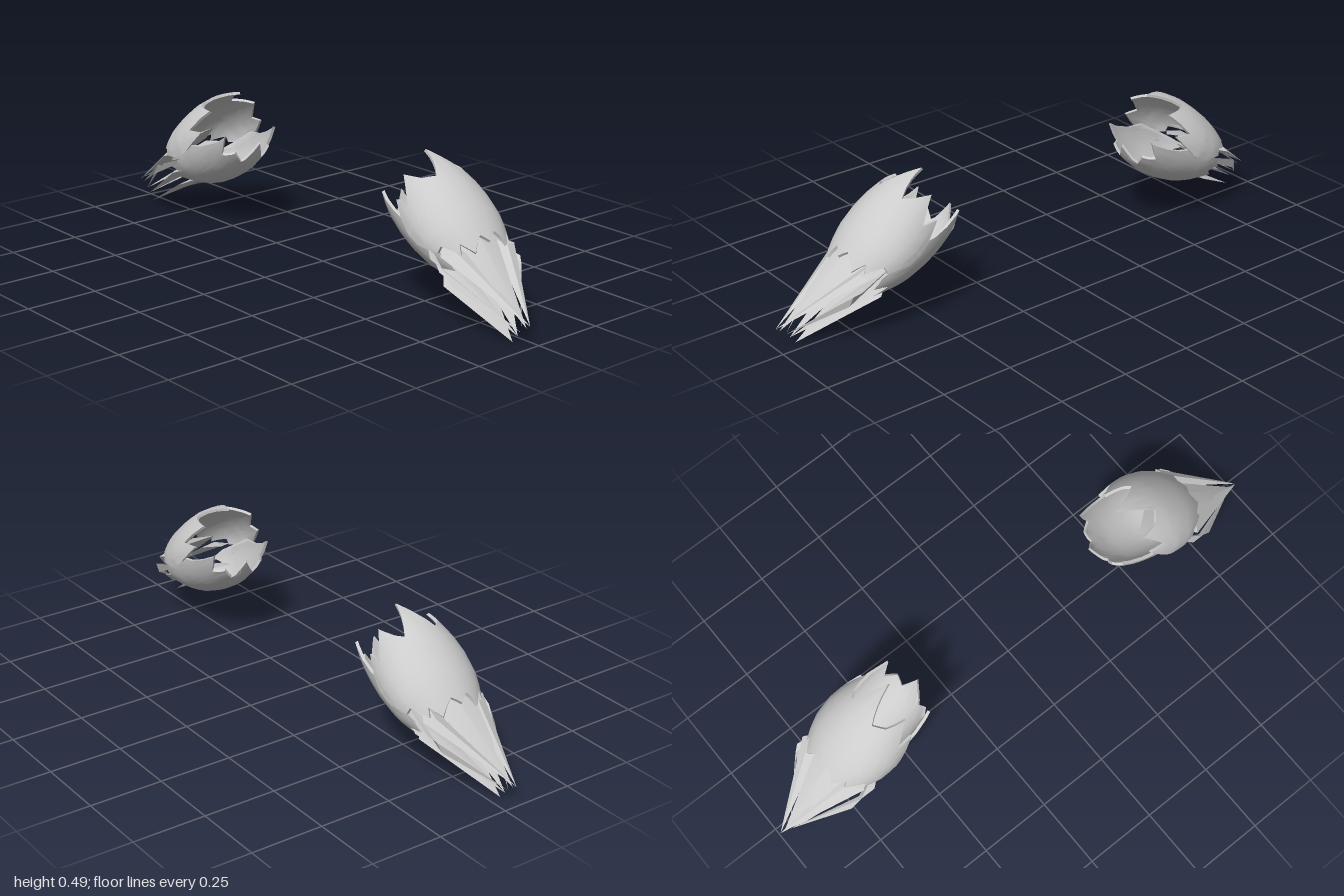
import * as THREE from 'three';
import { toCreasedNormals } from 'three/addons/utils/BufferGeometryUtils.js';

const material = new THREE.MeshStandardMaterial({ color: 0xcccccc, side: THREE.DoubleSide });

// Linear interpolation through [position, value] pairs
function lerpTable(table, t) {
  if (t <= table[0][0]) return table[0][1];
  for (let i = 1; i < table.length; i++) {
    const [a, va] = table[i - 1], [b, vb] = table[i];
    if (t <= b) return va + (vb - va) * (t - a) / (b - a);
  }
  return table[table.length - 1][1];
}

function makeMesh(name, positions, index, crease) {
  const geometry = new THREE.BufferGeometry();
  geometry.setAttribute('position', new THREE.Float32BufferAttribute(positions, 3));
  geometry.setIndex(index);
  const mesh = new THREE.Mesh(toCreasedNormals(geometry, crease), material);
  mesh.name = name;
  return mesh;
}

// Half shell along x: jagged front and rear edges, given as [degrees, x]
function shell(name, heights, widths, front, rear) {
  const from = front[0][0], to = front[front.length - 1][0];
  const angles = new Set([...front, ...rear].map((p) => p[0]));
  for (let a = from; a <= to; a += 6) angles.add(a);
  const rows = [...angles].sort((a, b) => a - b);
  const steps = 12, ring = 2 * (steps + 1);
  const positions = [], index = [];
  rows.forEach((deg, i) => {
    const a = THREE.MathUtils.degToRad(deg);
    const u0 = lerpTable(front, deg), u1 = lerpTable(rear, deg);
    const thick = i === 0 || i === rows.length - 1 ? 0 : 0.01;
    for (let j = 0; j < ring; j++) {
      const inner = j > steps;
      const t = (inner ? ring - 1 - j : j) / steps;
      const u = u0 + (u1 - u0) * t;
      const inset = inner ? thick : 0;
      positions.push(u,
        Math.sin(a) * (lerpTable(heights, u) - inset),
        Math.cos(a) * (lerpTable(widths, u) - inset));
    }
    if (i === 0) return;
    for (let j = 0; j < ring; j++) {
      const k = (j + 1) % ring, p = (i - 1) * ring, q = i * ring;
      index.push(p + j, p + k, q + j, p + k, q + k, q + j);
    }
  });
  return makeMesh(name, positions, index, 0.7);
}

// Kite-shaped blade folded along its midrib
function blade(root, left, right, tip, lift) {
  const mid = left.map((v, i) => (v + right[i]) / 2);
  mid[0] += lift * 0.5;
  mid[1] += lift;
  return makeMesh('blade', [...root, ...left, ...right, ...tip, ...mid],
    [0, 1, 4, 0, 4, 2, 1, 3, 4, 4, 3, 2], 0.5);
}

function createCuff() {
  const cuff = new THREE.Group();
  const shells = new THREE.Group();
  shells.name = 'shells';
  shells.position.set(0.58, 0.3, -0.005);
  shells.rotation.z = THREE.MathUtils.degToRad(-33);
  cuff.add(shells);

  // Upper shell with one long, narrow spike at the front
  shells.add(shell('upperShell',
    [[-0.2, 0.102], [-0.15, 0.12], [-0.1, 0.133], [-0.03, 0.138], [0.03, 0.132], [0.09, 0.122], [0.14, 0.108], [0.2, 0.085]],
    [[-0.15, 0.12], [-0.1, 0.135], [-0.04, 0.15], [0.02, 0.158], [0.09, 0.154], [0.14, 0.14], [0.2, 0.115]],
    [[-8, 0], [5, -0.1], [18, -0.05], [35, -0.145], [52, -0.09], [70, -0.07], [97, -0.195],
      [118, -0.07], [128, -0.09], [145, -0.145], [162, -0.05], [175, -0.1], [188, 0]],
    [[-8, 0.06], [8, 0.13], [20, 0.125], [34, 0.18], [43, 0.155], [55, 0.2], [76, 0.16], [88, 0.185],
      [102, 0.16], [127, 0.2], [137, 0.155], [146, 0.18], [160, 0.125], [172, 0.13], [188, 0.06]]));

  // Lower shell with a crown of front spikes
  const lower = shell('lowerShell',
    [[-0.2, 0.095], [-0.14, 0.133], [-0.05, 0.149], [0.02, 0.146], [0.08, 0.136], [0.13, 0.118], [0.175, 0.095], [0.21, 0.08]],
    [[-0.2, 0.12], [-0.1, 0.136], [0, 0.14], [0.1, 0.132], [0.15, 0.118], [0.2, 0.1]],
    [[178, 0], [190, -0.06], [204, -0.18], [219, -0.12], [234, -0.155], [250, -0.13], [266, -0.2],
      [290, -0.13], [306, -0.155], [321, -0.12], [336, -0.18], [350, -0.06], [362, 0]],
    [[178, 0.15], [190, 0.19], [205, 0.15], [222, 0.2], [238, 0.155], [254, 0.195], [270, 0.165],
      [286, 0.195], [302, 0.155], [318, 0.2], [335, 0.15], [350, 0.19], [362, 0.15]]);
  lower.position.z = -0.006;
  shells.add(lower);

  // Fan of blades converging behind the shells: root, two shoulders, tip, fold height
  const blades = [
    [[0.6, 0.34, 0], [0.735, 0.265, 0.08], [0.74, 0.26, -0.07], [0.985, 0.06, 0.04], 0.016],
    [[0.64, 0.27, 0.06], [0.715, 0.235, 0.14], [0.76, 0.225, 0.05], [1, 0.07, 0.04], 0.012],
    [[0.64, 0.27, -0.06], [0.76, 0.235, -0.13], [0.77, 0.22, -0.05], [1, 0.07, 0.04], 0.012],
    [[0.6, 0.25, 0.09], [0.685, 0.225, 0.155], [0.775, 0.155, 0.143], [0.965, 0.04, 0.04], 0.012],
    [[0.6, 0.25, -0.09], [0.785, 0.2, -0.132], [0.815, 0.147, -0.1], [0.965, 0.04, 0.04], 0.012],
    [[0.6, 0.21, 0.07], [0.69, 0.175, 0.12], [0.72, 0.155, 0.02], [0.95, 0.025, 0.04], 0.01],
    [[0.6, 0.21, -0.07], [0.72, 0.18, -0.13], [0.72, 0.155, -0.02], [0.95, 0.025, 0.04], 0.01],
    [[0.58, 0.18, 0], [0.69, 0.125, 0.1], [0.69, 0.135, -0.09], [0.93, 0, 0.04], 0.012],
  ];
  const fan = new THREE.Group();
  fan.name = 'bladeFan';
  blades.forEach((b) => fan.add(blade(...b)));
  cuff.add(fan);
  return cuff;
}

export function createModel() {
  const model = new THREE.Group();
  const left = createCuff();
  left.name = 'leftCuff';
  const right = createCuff();
  right.name = 'rightCuff';
  right.scale.x = -1;
  model.add(left, right);
  return model;
}
